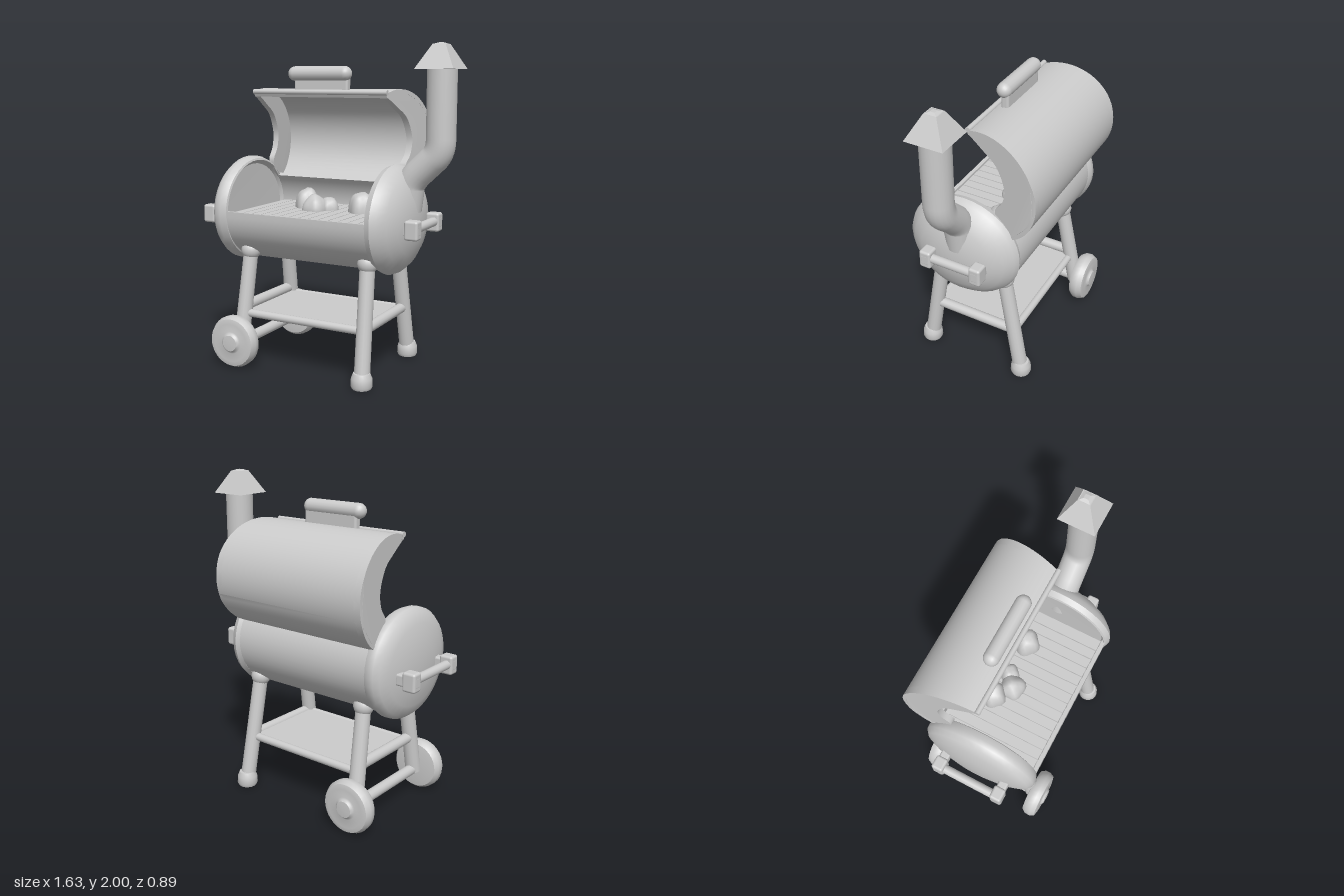
import * as THREE from 'three';
import { toCreasedNormals } from 'three/addons/utils/BufferGeometryUtils.js';
import { RoundedBoxGeometry } from 'three/addons/geometries/RoundedBoxGeometry.js';

const V = (x, y, z) => new THREE.Vector3(x, y, z);
const P = (x, y) => new THREE.Vector2(x, y);

export function createModel() {
  const model = new THREE.Group();
  const mat = new THREE.MeshStandardMaterial({ color: 0xcccccc, side: THREE.DoubleSide });

  function add(name, geometry, x = 0, y = 0, z = 0) {
    const mesh = new THREE.Mesh(geometry, mat);
    mesh.name = name;
    mesh.position.set(x, y, z);
    model.add(mesh);
    return mesh;
  }
  // round bar from a to b
  function rod(name, a, b, ra, rb = ra) {
    const dir = b.clone().sub(a);
    const mesh = add(name, new THREE.CylinderGeometry(rb, ra, dir.length(), 16));
    mesh.position.copy(a).lerp(b, 0.5);
    mesh.quaternion.setFromUnitVectors(V(0, 1, 0), dir.normalize());
    return mesh;
  }
  // elliptical arc of (z, y) points, angles in degrees from the front
  function arc(cz, cy, rz, ry, from, to, n = 32) {
    return Array.from({ length: n + 1 }, (_, i) => {
      const a = THREE.MathUtils.degToRad(from + (to - from) * i / n);
      return P(cz + rz * Math.cos(a), cy + ry * Math.sin(a));
    });
  }
  // (z, y) outline extruded along x from x0 to x1
  function extrudeX(points, x0, x1) {
    const g = new THREE.ExtrudeGeometry(new THREE.Shape(points), { depth: x1 - x0, bevelEnabled: false });
    return g.rotateY(-Math.PI / 2).translate(x1, 0, 0);
  }
  const lathe = (pts, n = 40) => toCreasedNormals(
    new THREE.LatheGeometry(pts.map(p => P(...p)), n), 0.7);

  // Drum: open trough with domed ends
  const trough = [...arc(0.03, 0.97, 0.35, 0.315, 3, -218), ...arc(0.03, 0.97, 0.325, 0.29, -218, 3)];
  add('drum', toCreasedNormals(extrudeX(trough, -0.57, 0.41), 0.6));
  const leftEnd = [[0, 0.035], [0.3, 0.03], [0.325, 0], [0.337, 0.005], [0.352, 0.04], [0.35, 0.075],
    [0.325, 0.105], [0.26, 0.13], [0.15, 0.152], [0, 0.16]];
  const rightEnd = [[0, 0.035], [0.3, 0.03], [0.325, 0], [0.337, 0.005], [0.35, 0.04], [0.335, 0.075],
    [0.29, 0.12], [0.22, 0.16], [0.13, 0.185], [0, 0.197]];
  for (const [name, profile, x, s] of [['leftEnd', rightEnd, 0.39, 1], ['rightEnd', leftEnd, -0.55, -1]]) {
    const end = add(name, lathe(profile), x, 0.967, 0.033);
    end.rotation.z = -s * Math.PI / 2;
    end.scale.set(0.95, 1, 1.04);
  }

  // Cooking grate
  add('grateBase', new THREE.BoxGeometry(0.96, 0.02, 0.64), -0.08, 0.952, 0.03);
  for (let i = 0; i < 14; i++)
    add('grateSlat', new THREE.BoxGeometry(0.06, 0.015, 0.64), -0.51 + i * 0.0665, 0.968, 0.03);

  // Lumps of food, gently uneven
  for (const [x, z, r, h] of [[-0.24, -0.08, 0.078, 0.13], [-0.14, 0.0, 0.08, 0.095],
    [-0.07, -0.06, 0.06, 0.08], [0.16, -0.06, 0.082, 0.13]]) {
    const g = new THREE.IcosahedronGeometry(1, 3);
    const p = g.attributes.position;
    for (let i = 0; i < p.count; i++) {
      const v = V().fromBufferAttribute(p, i);
      v.multiplyScalar(1 + 0.1 * Math.sin(4 * v.x + 30 * x) * Math.cos(4 * v.z + 9 * z));
      p.setXYZ(i, v.x, v.y, v.z);
    }
    add('food', toCreasedNormals(g, 1), x, 0.975, z).scale.set(r, h, r);
  }

  // Open lid: pieces run from u = -1 to 1 and are spread so the lid widens to the rear
  function lidPiece(name, points, u0, u1) {
    const g = extrudeX(points, u0, u1);
    const p = g.attributes.position;
    for (let i = 0; i < p.count; i++) {
      const t = THREE.MathUtils.clamp((0.04 - p.getZ(i)) / 0.45, 0, 1);
      p.setX(i, THREE.MathUtils.mapLinear(p.getX(i), -1, 1, -0.565 - 0.05 * t, 0.365 + 0.1 * t));
    }
    add(name, toCreasedNormals(g, 0.6));
  }
  const lidOuter = arc(-0.1, 1.4, 0.34, 0.335, 66, 241);
  lidPiece('lid', [...lidOuter, ...arc(-0.1, 1.4, 0.315, 0.31, 241, 66)], -1, 1);
  const hollow = new THREE.SplineCurve([P(-0.17, 1.2), P(-0.16, 1.27), P(-0.21, 1.34), P(-0.225, 1.44),
    P(-0.17, 1.56), P(-0.07, 1.63), P(0.03, 1.69)]).getPoints(24);
  const crescent = [...lidOuter, ...hollow];
  lidPiece('lidSide', crescent, -0.998, -0.92);
  lidPiece('lidSide', crescent, 0.92, 0.998);
  rod('lidLip', V(-0.57, 1.715, 0.03), V(0.37, 1.715, 0.03), 0.016);

  // Lid handle
  add('lidHandle', new THREE.CapsuleGeometry(0.046, 0.35, 8, 16), -0.12, 1.828, -0.028).rotation.z = Math.PI / 2;
  add('lidHandleMount', new RoundedBoxGeometry(0.38, 0.1, 0.05, 3, 0.015), -0.11, 1.765, -0.04);

  // Carrying handles on both ends
  for (const [side, xIn, xOut, zs] of [['right', -0.68, -0.815, [-0.16, 0.235]], ['left', 0.52, 0.65, [-0.15, 0.18]]]) {
    const s = Math.sign(xOut);
    for (const z of zs) {
      add(side + 'HandlePost', new RoundedBoxGeometry(Math.abs(xOut - xIn), 0.07, 0.06, 3, 0.012),
        (xIn + xOut) / 2, 0.94, z);
      add(side + 'HandleKnob', new RoundedBoxGeometry(0.085, 0.115, 0.075, 3, 0.015), xOut - s * 0.043, 0.94, z);
    }
    rod(side + 'HandleBar', V(xOut - s * 0.035, 0.945, zs[0]), V(xOut - s * 0.035, 0.945, zs[1]), 0.028);
  }

  // Chimney with a bend and a square hood
  const path = new THREE.CurvePath();
  const bend = [V(0.5, 1.03, 0.018), V(0.52, 1.18, 0.018), V(0.57, 1.25, 0.018), V(0.66, 1.335, 0.018),
    V(0.705, 1.375, 0.018), V(0.705, 1.45, 0.018), V(0.705, 1.87, 0.018)];
  path.add(new THREE.LineCurve3(bend[0], bend[1]));
  path.add(new THREE.QuadraticBezierCurve3(bend[1], V(0.53, 1.21, 0.018), bend[2]));
  path.add(new THREE.LineCurve3(bend[2], bend[3]));
  path.add(new THREE.QuadraticBezierCurve3(bend[3], bend[4], bend[5]));
  path.add(new THREE.LineCurve3(bend[5], bend[6]));
  add('chimney', new THREE.TubeGeometry(path, 48, 0.087, 20));
  const hood = new THREE.CylinderGeometry(0.055, 0.165, 0.14, 4).rotateY(Math.PI / 4);
  add('chimneyHood', toCreasedNormals(hood, 0.3), 0.697, 1.922, 0.02);
  add('chimneyHoodTip', toCreasedNormals(
    new THREE.CylinderGeometry(0.02, 0.055, 0.01, 4).rotateY(Math.PI / 4), 0.3), 0.697, 1.995, 0.02);

  // Splayed legs: wheels under the right pair, feet under the left pair
  const wheel = lathe([[0, -0.05], [0.11, -0.05], [0.145, -0.045], [0.163, -0.02], [0.165, 0.015],
    [0.15, 0.045], [0.12, 0.052], [0.07, 0.046], [0.058, 0.052], [0.05, 0.064], [0, 0.068]], 32);
  const foot = lathe([[0, 0], [0.058, 0.002], [0.066, 0.02], [0.063, 0.065], [0.05, 0.095], [0, 0.1]], 24);
  for (const s of [1, -1]) {
    const top = s > 0 ? 0.235 : -0.18, low = s > 0 ? 0.35 : -0.32;
    const name = s > 0 ? 'front' : 'back';
    rod(name + 'LeftLeg', V(0.37, 0.03, low), V(0.35, 0.78, top), 0.048, 0.046);
    add(name + 'Foot', foot, 0.37, 0.005, low);
    rod(name + 'RightLeg', V(-0.495, 0.13, low - s * 0.02), V(-0.465, 0.78, top), 0.05, 0.046);
    add(name + 'LeftLegCollar', new THREE.SphereGeometry(0.062, 20, 14), 0.352, 0.73, top + s * 0.008);
    add(name + 'RightLegCollar', new THREE.SphereGeometry(0.062, 20, 14), -0.467, 0.73, top + s * 0.008);
    add(name + 'Wheel', wheel, -0.505, 0.165, s > 0 ? 0.382 : -0.362).rotation.x = s * Math.PI / 2;
    rod(name + 'Rail', V(-0.485, 0.335, s > 0 ? 0.3 : -0.26), V(0.362, 0.335, s > 0 ? 0.3 : -0.26), 0.025);
  }
  rod('axle', V(-0.5, 0.145, -0.32), V(-0.5, 0.145, 0.34), 0.034);
  rod('leftCrossbar', V(0.362, 0.345, -0.26), V(0.362, 0.345, 0.3), 0.032);
  rod('rightCrossbar', V(-0.485, 0.375, -0.25), V(-0.485, 0.375, 0.29), 0.034);
  add('shelf', new THREE.BoxGeometry(0.85, 0.018, 0.56), -0.062, 0.345, 0.02);

  return model;
}
